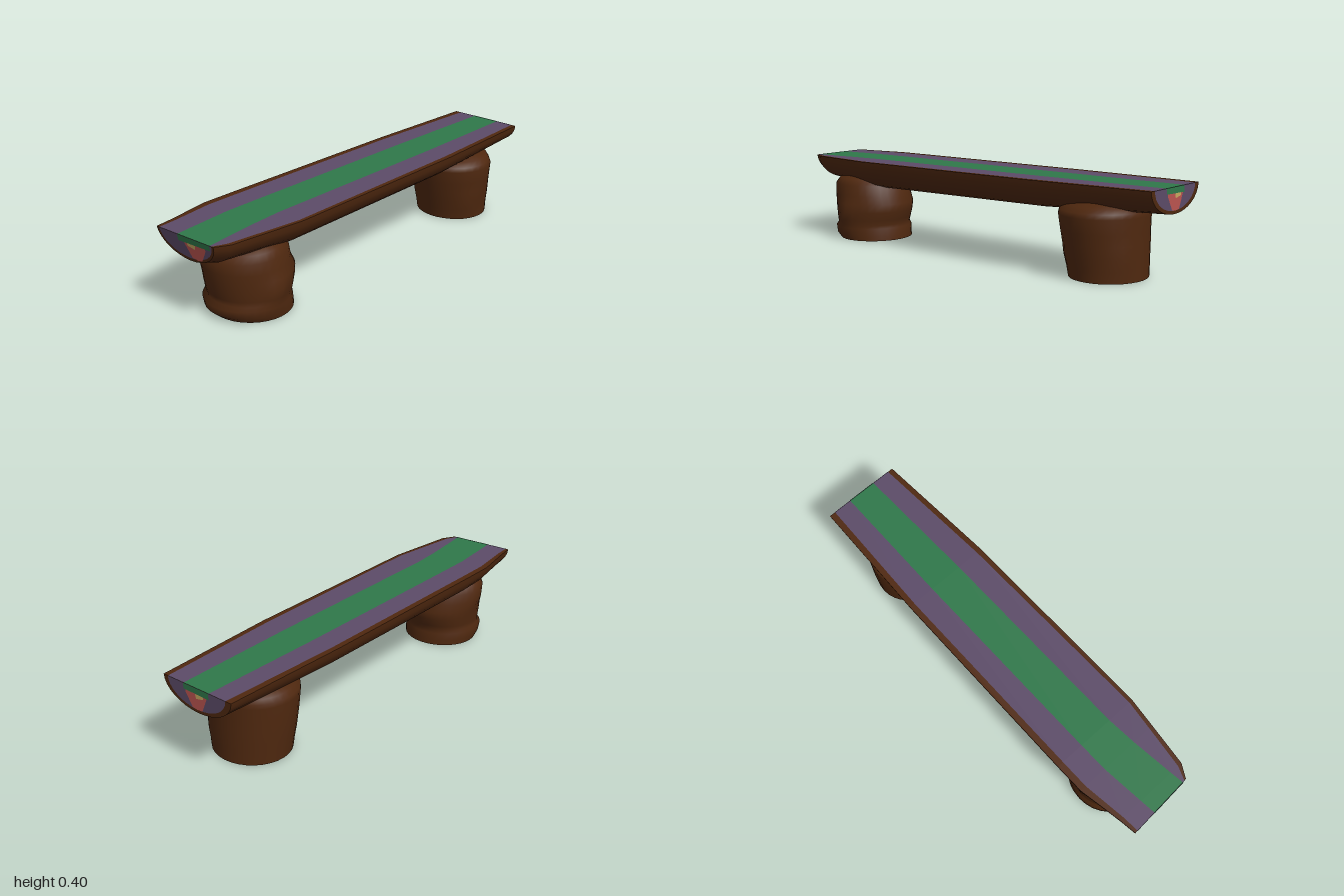
import * as THREE from 'three';

const TOP = 0.4;
const mat = (color) => new THREE.MeshStandardMaterial({ color, roughness: 0.9, side: THREE.DoubleSide });

// Skin a list of equally long point rows
function loft(rows, closed = false) {
  const n = rows[0].length, index = [];
  for (let i = 0; i < rows.length - 1; i++) {
    for (let j = 0; j < (closed ? n : n - 1); j++) {
      const k = (j + 1) % n;
      const a = i * n + j, b = a + n, c = i * n + k, d = c + n;
      index.push(a, b, c, b, d, c);
    }
  }
  const geo = new THREE.BufferGeometry();
  geo.setAttribute('position', new THREE.Float32BufferAttribute(rows.flat(2), 3));
  geo.setIndex(index);
  geo.computeVertexNormals();
  return geo;
}

// Log stations: x, back z, front z, depth, inner back, inner front, stripe back, stripe front
const stations = [
  [-1.0, -0.18, 0.14, 0.112, -0.165, 0.13, -0.06, 0.12],
  [-0.92, -0.19, 0.175, 0.12, -0.17, 0.155, -0.067, 0.112],
  [-0.72, -0.225, 0.2, 0.135, -0.195, 0.182, -0.085, 0.09],
  [-0.58, -0.225, 0.217, 0.148, -0.195, 0.2, -0.086, 0.08],
  [0.4, -0.217, 0.212, 0.139, -0.19, 0.187, -0.084, 0.077],
  [1.0, -0.196, 0.18, 0.11, -0.166, 0.155, -0.075, 0.065],
];

// The right-hand end (-x) of the log is cut at a slant
const cutX = (x, y, z) => (x < -0.99 ? x + 0.06 * (z + 0.18) + 0.2 * (TOP - y) : x);

// Half-round section as [z, y] points, back to front
function halfRound(back, front, depth, steps = 16) {
  const pts = [];
  for (let j = 0; j <= steps; j++) {
    const t = (j / steps) * Math.PI;
    pts.push([(back + front) / 2 - Math.cos(t) * (front - back) / 2, TOP - Math.sin(t) * depth]);
  }
  return pts;
}

// Flat strip along the log's top between two station columns
const topStrip = (front, back) => loft(stations.map((s) =>
  [front, back].map((k) => [cutX(s[0], TOP, s[k]), TOP, s[k]])));

// Flat outline of [z, y] points laid on an end of the log
function endPatch(outline, x, lift) {
  const geo = new THREE.ShapeGeometry(new THREE.Shape(outline.map((p) => new THREE.Vector2(...p))));
  const pos = geo.attributes.position, side = Math.sign(x);
  for (let i = 0; i < pos.count; i++) {
    const z = pos.getX(i), y = pos.getY(i);
    pos.setXYZ(i, cutX(x, y, z) + side * lift, y, z);
  }
  // A counter-clockwise outline in (z, y) faces -x, so turn it round for +x
  if (side > 0) geo.index.array.reverse();
  geo.computeVertexNormals();
  return geo;
}

// Hollow stump from rows of y, min x, max x, back z, front z, with lumps [angle, y, height]
function stump(rows, lumps) {
  const N = 32;
  const rings = rows.map(([y, x0, x1, z0, z1]) => Array.from({ length: N }, (_, j) => {
    const t = (j / N) * Math.PI * 2;
    let swell = 1;
    for (const [angle, ly, h] of lumps) {
      const da = Math.atan2(Math.sin(t - angle), Math.cos(t - angle));
      swell += h * Math.exp(-((da / 0.3) ** 2) - ((y - ly) / 0.06) ** 2);
    }
    return [
      (x0 + x1) / 2 + Math.cos(t) * swell * (x1 - x0) / 2, y,
      (z0 + z1) / 2 + Math.sin(t) * swell * (z1 - z0) / 2,
    ];
  }));
  return loft(rings, true);
}

export function createModel() {
  const group = new THREE.Group();
  const bark = mat(0x4f280f), wood = mat(0x5c4b68), green = mat(0x2f784a);
  const red = mat(0xbb5550), yellow = mat(0xc8a860);
  const add = (name, geo, material) => {
    const mesh = new THREE.Mesh(geo, material);
    mesh.name = name;
    group.add(mesh);
  };

  // Half-log seat: round bark underside
  add('logBark', loft(stations.map(([x, b, f, d]) =>
    halfRound(b, f, d).map(([z, y]) => [cutX(x, y, z), y, z]))), bark);

  // Striped flat top
  add('backBarkEdge', topStrip(4, 1), bark);
  add('backTopStripe', topStrip(6, 4), wood);
  add('centreTopStripe', topStrip(7, 6), green);
  add('frontTopStripe', topStrip(5, 7), wood);
  add('frontBarkEdge', topStrip(2, 5), bark);

  // Cut ends: bark rim, wood, and the painted heart
  for (const s of [stations[0], stations[stations.length - 1]]) {
    const [x, b, f, d, ib, inf, gb, gf] = s;
    const mid = (gb + gf) / 2;
    add('endRim', endPatch(halfRound(b, f, d), x, 0), bark);
    add('endWood', endPatch(halfRound(ib, inf, d - 0.014), x, 0.001), wood);
    add('endHeart', endPatch([[mid - 0.06, 0.375], [mid - 0.03, 0.308], [mid, 0.304],
      [mid + 0.025, 0.308], [mid + 0.06, 0.365], [mid + 0.06, 0.375]], x, 0.002), red);
    add('endStripe', endPatch([[gb, 0.372], [gf, 0.376], [gf, TOP], [gb, TOP]], x, 0.0025), green);
    add('endFleck', endPatch([[mid - 0.04, 0.362], [mid, 0.354], [mid + 0.005, 0.374], [mid - 0.04, 0.374]], x, 0.003), yellow);
  }

  // Stump under the +x end
  add('leftLeg', stump([
    [0, 0.54, 0.87, -0.172, 0.186],
    [0.05, 0.532, 0.87, -0.177, 0.19],
    [0.1, 0.52, 0.87, -0.183, 0.198],
    [0.15, 0.512, 0.87, -0.188, 0.204],
    [0.2, 0.502, 0.87, -0.191, 0.21],
    [0.265, 0.493, 0.872, -0.195, 0.218],
    [0.285, 0.495, 0.87, -0.193, 0.208],
    [0.305, 0.53, 0.86, -0.178, 0.188],
    [0.322, 0.59, 0.81, -0.14, 0.15],
    [0.326, 0.7, 0.7, 0, 0],
  ], [[2.1, 0.08, 0.04], [0.6, 0.1, 0.03]]), bark);

  // Stump under the -x end, with a lip round the foot
  add('rightLeg', stump([
    [0, -0.86, -0.515, -0.172, 0.192],
    [0.025, -0.888, -0.517, -0.178, 0.198],
    [0.06, -0.893, -0.522, -0.182, 0.2],
    [0.075, -0.874, -0.528, -0.17, 0.195],
    [0.1, -0.88, -0.518, -0.172, 0.198],
    [0.14, -0.887, -0.506, -0.176, 0.2],
    [0.18, -0.892, -0.5, -0.178, 0.2],
    [0.22, -0.896, -0.52, -0.18, 0.195],
    [0.27, -0.898, -0.528, -0.182, 0.192],
    [0.3, -0.872, -0.56, -0.168, 0.175],
    [0.318, -0.81, -0.6, -0.13, 0.135],
    [0.323, -0.7, -0.7, 0, 0],
  ], [[1.65, 0.13, 0.1], [-1.5, 0.23, 0.07]]), bark);

  return group;
}
